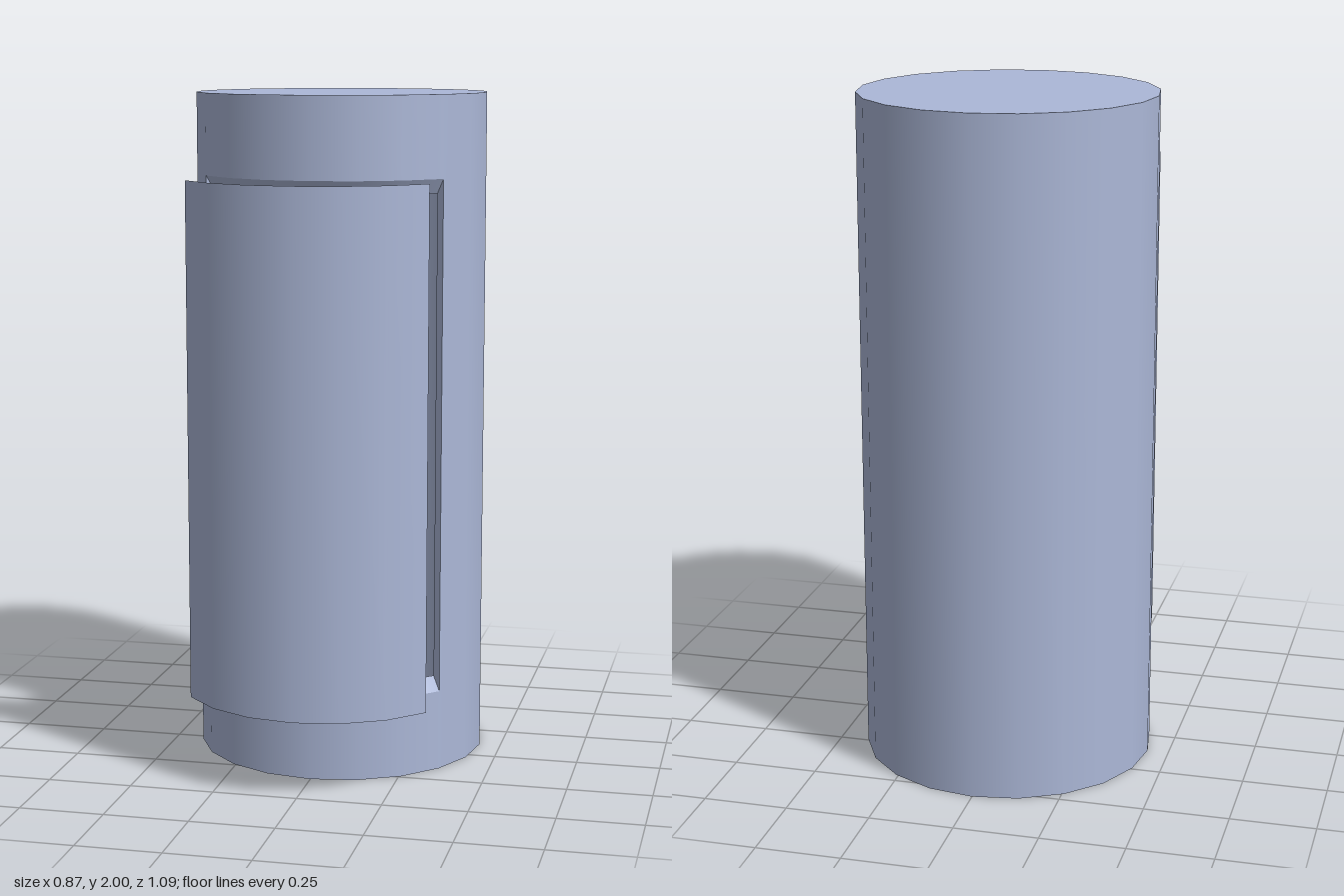
import * as THREE from 'three';
import { mergeGeometries } from 'three/addons/utils/BufferGeometryUtils.js';

const R = 0.436, r = 0.411;          // outer and inner wall radius
const SIDES = 20, STEP = (Math.PI * 2) / SIDES;
const HALF = 3 * STEP;               // half angle of the opening
const H = 2, CAP = 0.057;            // height, thickness of the end caps
const OUT = [0.24, 1.76];            // opening height on the outer wall
const INN = [0.283, 1.717];          // opening height on the inner wall

const steelBlue = new THREE.MeshStandardMaterial({ color: 0xacb8d8, side: THREE.DoubleSide });
steelBlue.name = 'steelBlue';

// Turn each stretch of a [radius, y] profile separately, so its corners stay sharp
function turn(profile, start = 0, steps = SIDES) {
  const parts = [];
  for (let i = 0; i + 1 < profile.length; i++) {
    const pts = [profile[i], profile[i + 1]].map(([x, y]) => new THREE.Vector2(x, y));
    parts.push(new THREE.LatheGeometry(pts, steps, start, steps * STEP));
  }
  return mergeGeometries(parts);
}

// Upright bevelled strip across the wall thickness at a given angle
function edgeStrip(angle) {
  const pts = [[R, OUT[0]], [R, OUT[1]], [r, INN[1]], [r, INN[0]]];
  const shape = new THREE.Shape(pts.map(([x, y]) => new THREE.Vector2(x, y)));
  return new THREE.ShapeGeometry(shape).rotateY(angle - Math.PI / 2);
}

function add(group, name, geometry) {
  const mesh = new THREE.Mesh(geometry, steelBlue);
  mesh.name = name;
  group.add(mesh);
}

export function createModel() {
  const model = new THREE.Group();
  model.name = 'cylinderWithPanel';

  // Hollow body with an opening at the front
  const body = new THREE.Group();
  body.name = 'body';
  body.position.z = -0.11;
  add(body, 'bottomCap', turn([[0, 0], [R, 0]]));
  add(body, 'topCap', turn([[R, H], [0, H]]));
  add(body, 'innerFloor', turn([[r, CAP], [0, CAP]]));
  add(body, 'innerCeiling', turn([[0, H - CAP], [r, H - CAP]]));
  add(body, 'outerWall', turn([[R, 0], [R, H]], HALF, SIDES - 6));
  add(body, 'innerWall', turn([[r, H - CAP], [r, CAP]], HALF, SIDES - 6));
  add(body, 'wallBelowOpening', turn([[R, 0], [R, OUT[0]], [r, INN[0]], [r, CAP]], -HALF, 6));
  add(body, 'wallAboveOpening', turn([[r, H - CAP], [r, INN[1]], [R, OUT[1]], [R, H]], -HALF, 6));
  add(body, 'leftOpeningEdge', edgeStrip(HALF));
  add(body, 'rightOpeningEdge', edgeStrip(-HALF));
  model.add(body);

  // Curved panel lifted off the opening
  const panel = new THREE.Group();
  panel.name = 'panel';
  panel.position.z = 0.11;
  add(panel, 'panelShell', turn([[R, OUT[0]], [R, OUT[1]], [r, INN[1]], [r, INN[0]], [R, OUT[0]]], -HALF, 6));
  add(panel, 'leftPanelEdge', edgeStrip(HALF));
  add(panel, 'rightPanelEdge', edgeStrip(-HALF));
  model.add(panel);

  return model;
}
